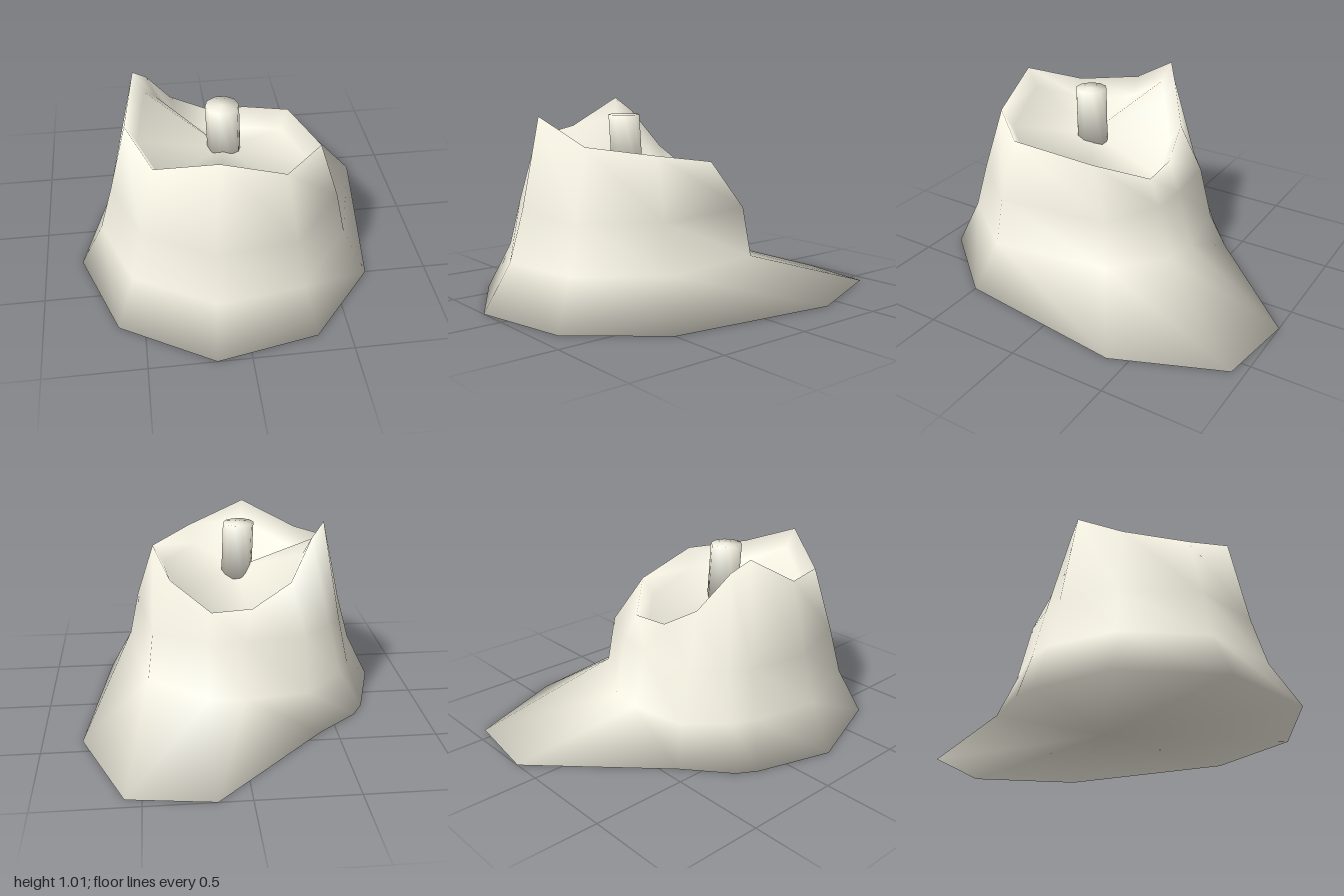
import * as THREE from 'three';

// Eleven-sided cross-sections, counter-clockwise from above: [x, y, z]
const base = [
  [0.68, 0, 0.5], [0.8, 0, -0.4], [0.58, 0, -0.94], [0.16, 0, -1], [-0.41, 0, -0.43], [-0.63, 0, -0.25],
  [-0.69, 0, -0.15], [-0.81, 0, 0.24], [-0.63, 0, 0.73], [-0.17, 0, 1], [0.34, 0, 0.9],
];
const foot = [
  [0.56, 0.24, 0.43], [0.46, 0.23, -0.19], [0.15, 0.19, -0.375], [-0.03, 0.19, -0.4], [-0.35, 0.2, -0.36], [-0.55, 0.23, -0.21],
  [-0.61, 0.24, -0.11], [-0.69, 0.24, 0.24], [-0.54, 0.24, 0.64], [-0.15, 0.24, 0.86], [0.28, 0.24, 0.8],
];
const waist = [
  [0.51, 0.48, 0.42], [0.43, 0.48, -0.16], [0.15, 0.48, -0.31], [-0.03, 0.48, -0.32], [-0.34, 0.48, -0.29], [-0.49, 0.49, -0.17],
  [-0.56, 0.49, -0.08], [-0.62, 0.49, 0.23], [-0.49, 0.49, 0.6], [-0.14, 0.49, 0.79], [0.25, 0.48, 0.74],
];
const rim = [
  [0.415, 0.78, 0.39], [0.33, 0.715, -0.03], [0.13, 0.61, -0.24], [-0.08, 0.62, -0.23], [-0.28, 0.74, -0.19], [-0.4, 0.94, -0.08],
  [-0.47, 1.01, -0.02], [-0.53, 0.86, 0.23], [-0.41, 0.825, 0.54], [-0.12, 0.95, 0.7], [0.2, 0.82, 0.645],
];
const centre = [-0.045, 0.69, 0.23];

// Crater floor edge, dropped and drawn in from the rim
const floor = rim.map(([x, y, z]) => [
  THREE.MathUtils.lerp(x, centre[0], 0.12), y - 0.1, THREE.MathUtils.lerp(z, centre[2], 0.12),
]);

// Skins a stack of closed rings, closed by fans at both ends
function skin(rings, startPoint, endPoint) {
  const n = rings[0].length;
  const points = [...rings.flat(), startPoint, endPoint];
  const start = points.length - 2, end = points.length - 1;
  const last = (rings.length - 1) * n;
  const index = [];
  for (let i = 0; i < n; i++) {
    const j = (i + 1) % n;
    index.push(start, j, i, last + i, last + j, end);
    for (let o = 0; o < last; o += n) index.push(o + i, o + j, o + n + i, o + j, o + n + j, o + n + i);
  }
  const geometry = new THREE.BufferGeometry();
  geometry.setAttribute('position', new THREE.Float32BufferAttribute(points.flat(), 3));
  geometry.setAttribute('normal', new THREE.Float32BufferAttribute(smoothNormals(points, index), 3));
  geometry.setIndex(index);
  return geometry;
}

// Smooth normals in which each face counts by its corner angle
function smoothNormals(points, index) {
  const p = points.map((q) => new THREE.Vector3(...q));
  const normals = p.map(() => new THREE.Vector3());
  const faceNormal = new THREE.Vector3();
  for (let f = 0; f < index.length; f += 3) {
    const corners = index.slice(f, f + 3);
    new THREE.Triangle(...corners.map((c) => p[c])).getNormal(faceNormal);
    corners.forEach((c, k) => {
      const u = p[corners[(k + 1) % 3]].clone().sub(p[c]);
      const v = p[corners[(k + 2) % 3]].clone().sub(p[c]);
      normals[c].addScaledVector(faceNormal, u.angleTo(v));
    });
  }
  return normals.flatMap((v) => v.normalize().toArray());
}

// Ten-sided ring of the post
function postRing(x, y, z) {
  return Array.from({ length: 10 }, (_, i) => {
    const a = (i / 10) * Math.PI * 2;
    return [x + 0.083 * Math.cos(a), y, z - 0.083 * Math.sin(a)];
  });
}

export function createModel() {
  const group = new THREE.Group();
  group.name = 'craterMound';
  const material = new THREE.MeshStandardMaterial({ color: 0xf3f0e1 });
  const add = (name, geometry) => {
    const mesh = new THREE.Mesh(geometry, material);
    mesh.name = name;
    group.add(mesh);
  };

  // Mound with its sloping tail, flat underside, jagged rim and the crater inside
  add('mound', skin([base, foot, waist, rim, floor], [0, 0, 0], centre));

  // Slightly leaning post standing in the crater
  const bottom = [-0.04, 0.64, 0.22], top = [-0.052, 0.945, 0.232];
  add('post', skin([postRing(...bottom), postRing(...top)], bottom, top));

  return group;
}
